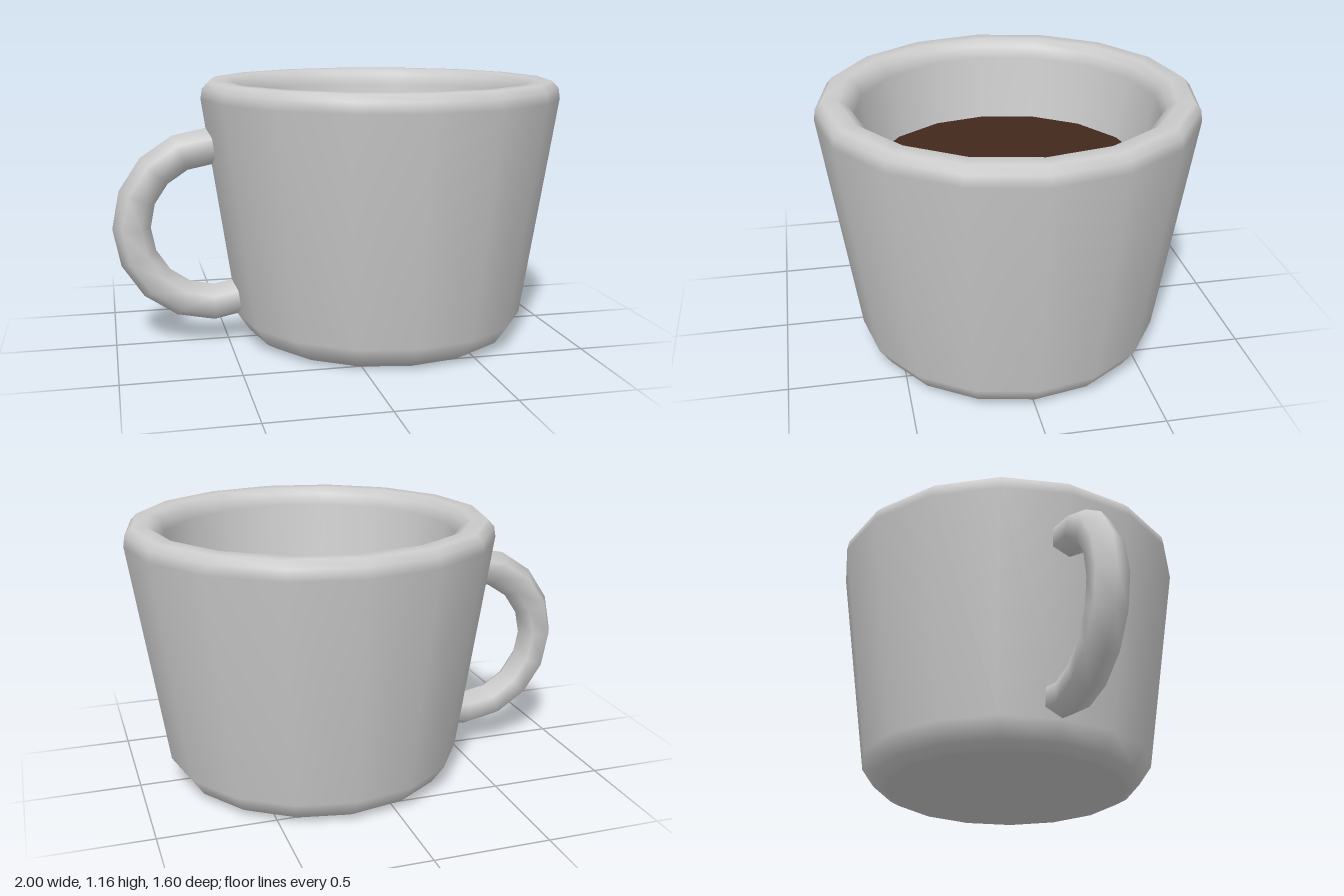
import * as THREE from 'three';

const SIDES = 16;
const CUP_X = 0.2;

export function createModel() {
  const model = new THREE.Group();
  const ceramic = new THREE.MeshStandardMaterial({ color: 0xcccccc });
  const coffeeMaterial = new THREE.MeshStandardMaterial({ color: 0x42281d });

  const add = (name, geometry, material, parent = model) => {
    const mesh = new THREE.Mesh(geometry, material);
    mesh.name = name;
    parent.add(mesh);
    return mesh;
  };

  // Cup: one closed profile, from the base up the outside, over the rim and down the inside
  const profile = [
    [0, 0], [0.54, 0], [0.555, 0.004], [0.6, 0.03], [0.655, 0.11],
    [0.8, 1.09], [0.793, 1.135], [0.765, 1.165],
    [0.7, 1.165], [0.66, 1.14], [0.64, 1.09],
    [0.51, 0.2], [0.46, 0.13], [0, 0.13],
  ].map(([r, y]) => new THREE.Vector2(r, y));
  add('cup', new THREE.LatheGeometry(profile, SIDES), ceramic).position.x = CUP_X;

  // Drink surface, set well below the rim
  const drink = new THREE.CircleGeometry(0.598, SIDES).rotateX(-Math.PI / 2);
  add('coffee', drink, coffeeMaterial).position.set(CUP_X, 0.81, 0);

  // Handle: six-sided ring segment whose lower end curls into the wall
  const handle = new THREE.Group();
  handle.name = 'handle';
  handle.position.set(-0.56, 0.53, 0);
  model.add(handle);
  const ringRadius = 0.355, tubeRadius = 0.083;
  const ring = new THREE.TorusGeometry(ringRadius, tubeRadius, 6, 9, Math.PI * 9 / 8);
  add('handleRing', ring.rotateZ(Math.PI / 2), ceramic, handle);

  // Short straight stub joining the upper end to the wall
  const stub = new THREE.CylinderGeometry(tubeRadius, tubeRadius, 0.05, 6, 1, false, Math.PI / 2);
  add('handleStub', stub.rotateZ(Math.PI / 2), ceramic, handle).position.set(0.025, ringRadius, 0);

  return model;
}
